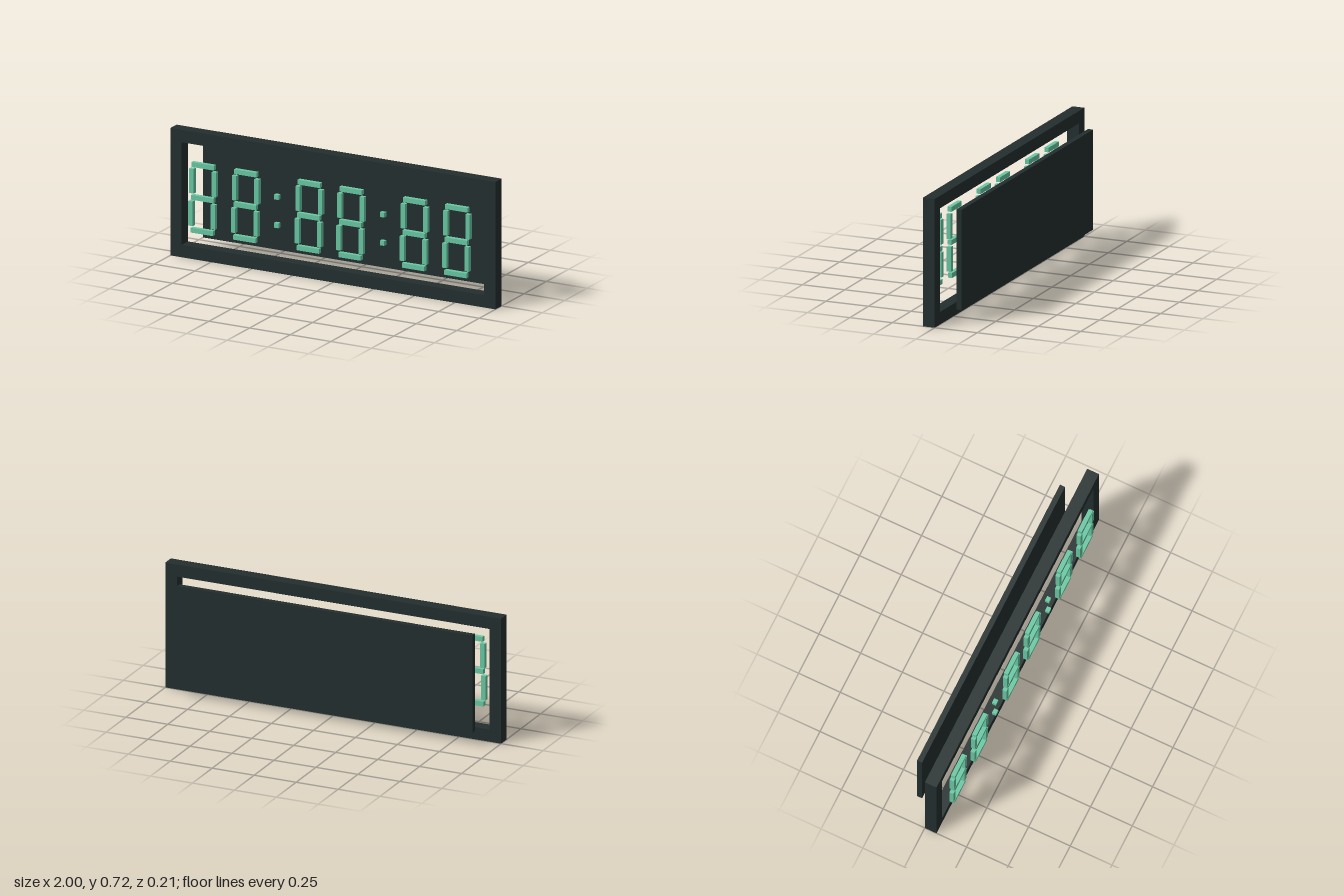
import * as THREE from 'three';

export function createModel() {
  const clock = new THREE.Group();
  clock.name = 'digitalClock';
  const casing = new THREE.MeshStandardMaterial({ name: 'dark casing', color: 0x232e2e });
  const led = new THREE.MeshStandardMaterial({ name: 'green led', color: 0x69c8a3 });

  const box = (parent, name, material, w, h, d, x, y, z) => {
    const mesh = new THREE.Mesh(new THREE.BoxGeometry(w, h, d), material);
    mesh.name = name;
    mesh.position.set(x, y, z);
    parent.add(mesh);
  };
  const rectangle = (path, x, y0, y1) =>
    path.moveTo(-x, y0).lineTo(x, y0).lineTo(x, y1).lineTo(-x, y1).closePath();

  // Front frame with a rectangular opening
  const outline = new THREE.Shape();
  rectangle(outline, 1, 0, 0.72);
  const opening = new THREE.Path();
  rectangle(opening, 0.93, 0.07, 0.65);
  outline.holes.push(opening);
  const frame = new THREE.Mesh(
    new THREE.ExtrudeGeometry(outline, { depth: 0.07, bevelEnabled: false }), casing);
  frame.name = 'frame';
  clock.add(frame);

  // Back panel, set behind the frame
  box(clock, 'backPanel', casing, 1.76, 0.56, 0.03, 0, 0.36, -0.09);

  // Seven-segment digits with a slight slant
  const z = 0.095, depth = 0.024, thick = 0.027;
  [-0.784, -0.522, -0.131, 0.126, 0.517, 0.777].forEach((x, i) => {
    const digit = new THREE.Group();
    digit.name = `digit${i + 1}`;
    digit.position.x = x;
    for (const [name, y, shift] of [['top', 0.547, 0.003], ['middle', 0.361, 0], ['bottom', 0.175, -0.003]])
      box(digit, `${name}Segment`, led, 0.137, thick, depth, shift, y, z);
    for (const [name, y, shift] of [['upper', 0.4535, 0.003], ['lower', 0.269, -0.003]])
      for (const side of [-1, 1])
        box(digit, `${name}${side > 0 ? 'Left' : 'Right'}Segment`, led,
          thick, 0.139, depth, side * 0.069 + shift, y, z);
    clock.add(digit);
  });

  // Colon dots
  for (const x of [-0.329, 0.323])
    for (const y of [0.281, 0.441]) box(clock, 'colonDot', led, thick, thick, depth, x, y, z);

  return clock;
}
